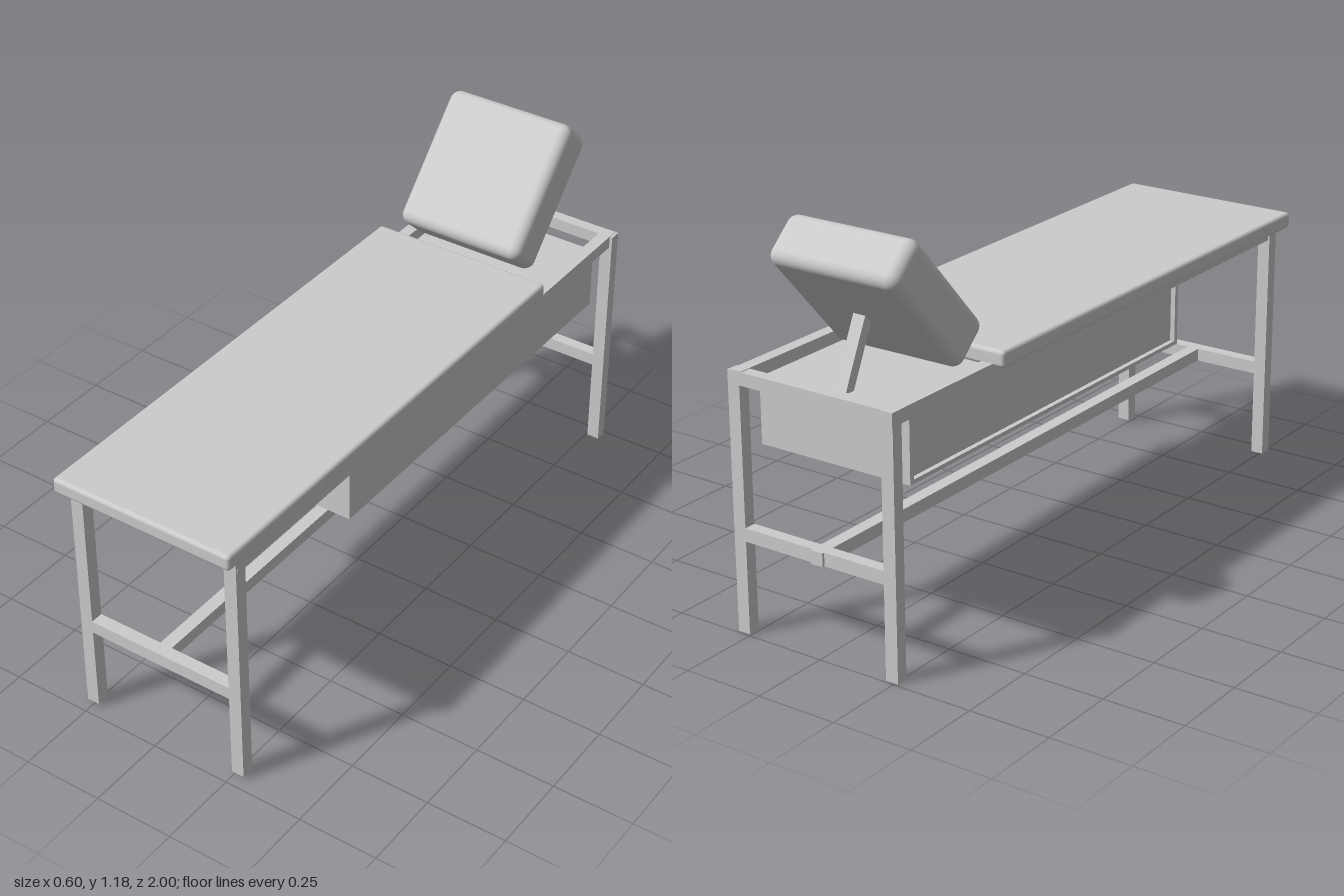
import * as THREE from 'three';
import { RoundedBoxGeometry } from 'three/addons/geometries/RoundedBoxGeometry.js';

const material = new THREE.MeshStandardMaterial({ color: 0xcccccc });

export function createModel() {
  const model = new THREE.Group();
  model.name = 'examinationCouch';

  const add = (name, geometry) => {
    const mesh = new THREE.Mesh(geometry, material);
    mesh.name = name;
    model.add(mesh);
    return mesh;
  };
  // Square-edged block given by its extents on each axis
  const block = (name, [x0, x1], [y0, y1], [z0, z1]) => {
    const mesh = add(name, new THREE.BoxGeometry(x1 - x0, y1 - y0, z1 - z0));
    mesh.position.set((x0 + x1) / 2, (y0 + y1) / 2, (z0 + z1) / 2);
    return mesh;
  };

  // Legs with a top and a lower crossbar at each end
  const ends = [
    { name: 'front', right: -0.27, left: 0.245, z: [0.925, 0.965], foot: 0.01 },
    { name: 'back', right: -0.26, left: 0.255, z: [-0.992, -0.955], foot: 0 },
  ];
  for (const { name, right, left, z, foot } of ends) {
    for (const x of [right, left]) block(name + 'Leg', [x, x + 0.04], [foot, 0.773], z);
    block(name + 'TopBar', [right, left + 0.04], [0.735, 0.773], z);
    block(name + 'LowerBar', [right + 0.03, left + 0.01], [0.28, 0.32], z);
  }

  // Long side rails and the central stretcher
  block('rightRail', [-0.265, -0.228], [0.735, 0.775], [-1, 0.96]);
  block('leftRail', [0.248, 0.286], [0.735, 0.775], [-0.99, 0.96]);
  block('stretcher', [-0.02, 0.02], [0.28, 0.32], [-1, 0.96]);

  // Storage box, with a framed, slightly recessed panel on the right side
  block('storageBox', [-0.235, 0.255], [0.54, 0.738], [-0.91, 0.41]);
  const side = [-0.25, -0.235];
  for (const y of [0.54, 0.726]) block('boxFrameRail', side, [y, y + 0.012], [-0.91, 0.41]);
  for (const z of [-0.91, 0.395]) block('boxFramePost', side, [0.552, 0.726], [z, z + 0.015]);

  // Flat mattress
  const mattress = add('mattress', new RoundedBoxGeometry(0.59, 0.05, 1.56, 4, 0.012));
  mattress.position.set(-0.005, 0.79, 0.22);

  // Tilted headrest cushion
  const headrest = add('headrest', new RoundedBoxGeometry(0.425, 0.44, 0.155, 6, 0.033));
  headrest.position.set(-0.017, 0.983, -0.742);
  headrest.rotation.x = -0.742;

  // Slanted strut holding the headrest
  const strut = add('headrestStrut', new THREE.BoxGeometry(0.04, 0.24, 0.032));
  strut.position.set(-0.005, 0.845, -0.823);
  strut.rotation.x = 0.435;

  return model;
}
